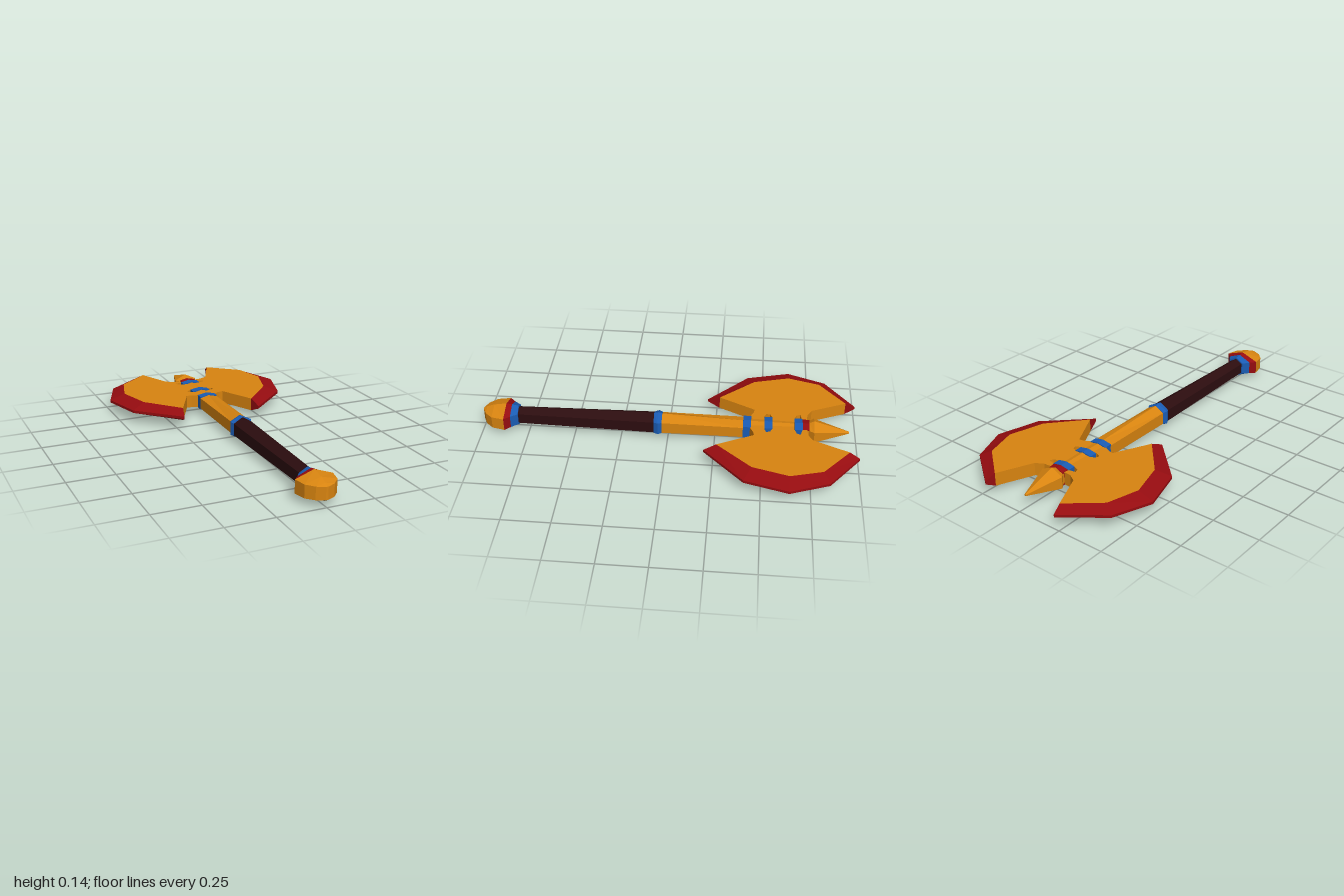
import * as THREE from 'three';

const material = (name, color) => {
  const m = new THREE.MeshStandardMaterial({ color });
  m.name = name;
  return m;
};

// Closed, capped loft; each ring runs counterclockwise about the direction of travel.
function loft(rings) {
  const pos = [];
  const tri = (a, b, c) => pos.push(...a, ...b, ...c);
  const n = rings[0].length;
  for (let i = 0; i < rings.length - 1; i++) {
    for (let j = 0; j < n; j++) {
      const k = (j + 1) % n;
      tri(rings[i][j], rings[i][k], rings[i + 1][k]);
      tri(rings[i][j], rings[i + 1][k], rings[i + 1][j]);
    }
  }
  const first = rings[0], last = rings[rings.length - 1];
  for (let j = 1; j < n - 1; j++) {
    tri(first[0], first[j + 1], first[j]);
    tri(last[0], last[j], last[j + 1]);
  }
  const g = new THREE.BufferGeometry();
  g.setAttribute('position', new THREE.Float32BufferAttribute(pos, 3));
  g.computeVertexNormals(); // unshared corners give flat facets
  return g;
}

// Ridged six-sided section: half width w, ridge height h, side wall half height s.
const hexRing = ([z, w, h, s]) => [
  [w, -s, z], [w, s, z], [0, h, z], [-w, s, z], [-w, -s, z], [0, -h, z],
];

export function createModel() {
  const gold = material('gold', 0xd88410);
  const red = material('crimson', 0x960c10);
  const blue = material('blue', 0x1a5cb4);
  const dark = material('dark leather', 0x2c0d0f);

  const model = new THREE.Group();
  model.name = 'doubleAxe';
  const axe = new THREE.Group();
  axe.name = 'axe';
  axe.position.y = 0.07;
  model.add(axe);

  const add = (name, geometry, mat) => {
    const mesh = new THREE.Mesh(geometry, mat);
    mesh.name = name;
    axe.add(mesh);
    return mesh;
  };
  const bar = (name, mat, sections) => add(name, loft(sections.map(hexRing)), mat);

  // Handle
  bar('shaft', gold, [[-0.745, 0.043, 0.04, 0.028], [-0.4, 0.05, 0.043, 0.03], [0.035, 0.05, 0.06, 0.032]]);
  bar('grip', dark, [[0.07, 0.05, 0.062, 0.032], [0.81, 0.037, 0.052, 0.028]]);
  bar('gripCollar', blue, [[0.032, 0.05, 0.06, 0.033], [0.053, 0.06, 0.066, 0.036], [0.075, 0.05, 0.063, 0.033]]);

  // Pommel
  bar('pommelCollar', blue, [[0.807, 0.044, 0.058, 0.033], [0.843, 0.07, 0.065, 0.034]]);
  bar('pommelBand', red, [[0.843, 0.07, 0.065, 0.034], [0.873, 0.098, 0.07, 0.035]]);
  bar('pommel', gold, [
    [0.873, 0.098, 0.07, 0.035], [0.94, 0.084, 0.058, 0.034],
    [0.98, 0.048, 0.044, 0.033], [1.0, 0.006, 0.033, 0.032],
  ]);

  // Bands wrapped around the head
  [-0.69, -0.532, -0.419].forEach((z) => {
    bar('headBand', blue, [
      [z - 0.021, 0.05, 0.046, 0.037], [z + 0.021, 0.05, 0.046, 0.037],
    ]);
  });
  bar('spikeBand', red, [[-0.747, 0.042, 0.046, 0.036], [-0.711, 0.046, 0.046, 0.037]]);

  // Top spike
  bar('spike', gold, [
    [-0.957, 0.005, 0.006, 0.003], [-0.772, 0.063, 0.062, 0.032], [-0.745, 0.043, 0.048, 0.03],
  ]);

  // Blade contours, listed as [x, z] from back to front
  const inner = [[0.21, -0.947], [0.375, -0.81], [0.423, -0.64], [0.37, -0.45], [0.206, -0.265]];
  const outer = [[0.222, -1], [0.43, -0.843], [0.508, -0.64], [0.445, -0.412], [0.222, -0.2]];

  // Gold plate with a slot on either side of the bridge
  const half = [
    [0.045, -0.735], [0.085, -0.738], [0.127, -0.762], ...inner,
    [0.11, -0.457], [0.085, -0.452], [0.05, -0.435],
  ];
  const mirrored = (pts) => [...pts, ...pts.map(([x, z]) => [-x, z]).reverse()];
  const vectors = (pts) => pts.map(([x, z]) => new THREE.Vector2(x, z));
  const plate = new THREE.Shape(vectors(mirrored(half)));
  plate.holes.push(
    new THREE.Path(vectors(mirrored([[0.05, -0.708], [0.086, -0.7], [0.078, -0.68], [0.045, -0.668]]))),
    new THREE.Path(vectors(mirrored([[0.048, -0.553], [0.074, -0.54], [0.078, -0.52], [0.048, -0.507]]))),
  );
  const t = 0.035;
  const plateGeometry = new THREE.ExtrudeGeometry(plate, { depth: 2 * t, bevelEnabled: false });
  plateGeometry.rotateX(Math.PI / 2).translate(0, t, 0);
  add('bladePlate', plateGeometry, gold);

  // Cutting edges taper from plate thickness to a narrow rim
  const e = 0.007;
  const edge = loft(inner.map(([x, z], i) => {
    const [ox, oz] = outer[i];
    return [[ox, -e, oz], [ox, e, oz], [x, t, z], [x, -t, z]];
  }));
  add('leftCuttingEdge', edge, red);
  add('rightCuttingEdge', edge, red).rotation.z = Math.PI;

  return model;
}
